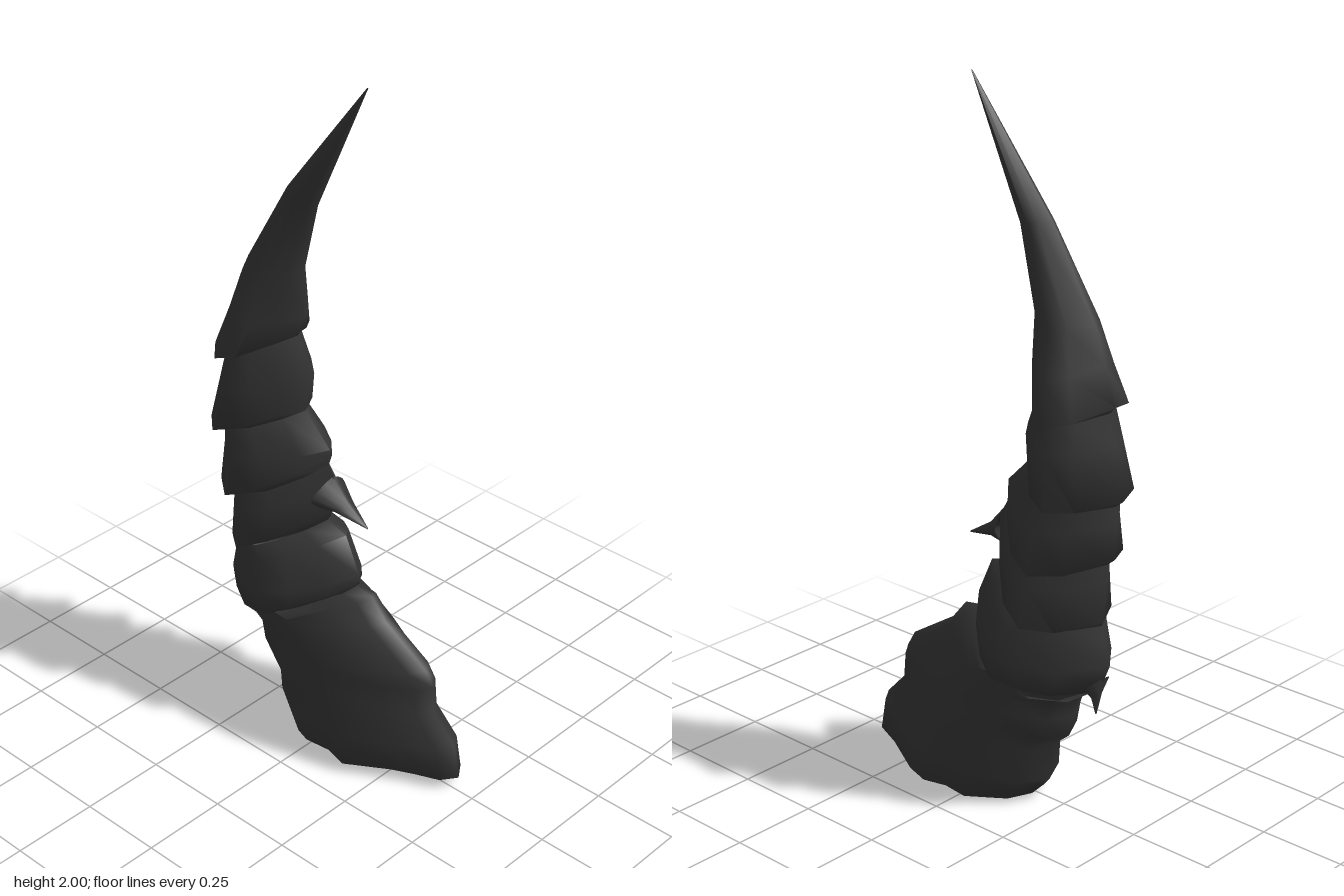
import * as THREE from 'three';
import { toCreasedNormals } from 'three/addons/utils/BufferGeometryUtils.js';

// Cross-sections: [position from outer (0) to inner (1) edge, share of half-depth]
const BAND = [[0, 0], [0.2, 0.68], [0.4, 1], [0.62, 0.85], [0.86, 0.4], [1, 0]];
const WIDE_BAND = [[0, 0], [0.18, 0.62], [0.38, 0.92], [0.54, 1], [0.7, 0.78], [0.88, 0.4], [1, 0]];
const ROOT = [[0, 0], [0.06, 0.47], [0.26, 0.94], [0.42, 0.88], [0.56, 1], [0.8, 0.5], [0.95, 0.26], [1, 0]];

// Loft through rings, each [outerX, outerY, innerX, innerY, halfDepth, sag, zShift]
function loft(rings, section) {
  const loop = [
    ...section.map(([t, w]) => [t, w, 1]),
    ...section.slice(1, -1).reverse().map(([t, w]) => [t, w, -1]),
  ];
  const n = loop.length, pos = [], index = [];
  rings.forEach(([x0, y0, x1, y1, depth, sag = 0, dz = 0], r) => {
    for (const [t, w, side] of loop) {
      pos.push(x0 + (x1 - x0) * t, y0 + (y1 - y0) * t - sag * w, depth * w * side + dz);
    }
    if (r === 0) return;
    for (let i = 0; i < n; i++) {
      const j = (i + 1) % n, a = (r - 1) * n, b = r * n;
      index.push(a + i, b + i, b + j, a + i, b + j, a + j);
    }
  });
  const geo = new THREE.BufferGeometry();
  geo.setAttribute('position', new THREE.Float32BufferAttribute(pos, 3));
  geo.setIndex(index);
  return toCreasedNormals(geo, 1.5);
}

export function createModel() {
  const horn = new THREE.MeshStandardMaterial({ color: 0x333333, side: THREE.DoubleSide });
  horn.name = 'dark horn';
  const group = new THREE.Group();
  group.name = 'horn';
  const add = (name, rings, section = BAND) => {
    const mesh = new THREE.Mesh(loft(rings, section), horn);
    mesh.name = name;
    group.add(mesh);
    return rings.at(-1);
  };

  // Long curved point, ending in an overhanging lip that turns inward
  let seam = add('hornTip', [
    [0.088, 2, 0.092, 2, 0.002],
    [-0.19, 1.65, -0.08, 1.63, 0.045],
    [-0.34, 1.4, -0.135, 1.42, 0.093, 0.01],
    [-0.375, 1.3, -0.135, 1.28, 0.13, 0.02],
    [-0.41, 1.2, -0.155, 1.23, 0.168, 0.05],
    [-0.39, 1.18, -0.16, 1.22, 0.118, 0.03],
  ]);

  // Bands, each growing out of the turned-in lip above it
  seam = add('upperBand', [
    seam,
    [-0.415, 1.1, -0.11, 1.09, 0.143, 0.02],
    [-0.44, 0.95, -0.13, 1.02, 0.176, 0.04],
    [-0.415, 0.93, -0.13, 1.0, 0.13, 0.03],
  ]);
  seam = add('secondBand', [
    seam,
    [-0.42, 0.88, -0.04, 0.91, 0.152, 0.03],
    [-0.415, 0.78, -0.05, 0.88, 0.182, 0.07],
    [-0.39, 0.76, -0.045, 0.86, 0.132, 0.06],
  ]);
  seam = add('thirdBand', [
    seam,
    [-0.39, 0.71, -0.01, 0.8, 0.15, 0.05],
    [-0.38, 0.59, -0.02, 0.735, 0.176, 0.06],
    [-0.375, 0.58, -0.05, 0.68, 0.138, 0.04],
  ]);
  seam = add('lowerBand', [
    seam,
    [-0.385, 0.55, 0.02, 0.66, 0.155, 0.04],
    [-0.405, 0.47, 0.07, 0.55, 0.176, 0.04],
    [-0.38, 0.41, 0.065, 0.52, 0.188, 0.05],
    [-0.34, 0.37, 0.06, 0.51, 0.145, 0.04],
  ], WIDE_BAND);

  // Broad hollow root with a knobbly inner edge, open underneath
  add('hornRoot', [
    seam,
    [-0.31, 0.36, 0.12, 0.5, 0.148, 0.03],
    [-0.29, 0.34, 0.17, 0.44, 0.153, 0.01],
    [-0.28, 0.28, 0.32, 0.345, 0.158, 0, -0.003],
    [-0.27, 0.22, 0.345, 0.3, 0.163, 0, -0.006],
    [-0.21, 0.17, 0.345, 0.21, 0.167, 0, -0.01],
    [-0.21, 0.07, 0.42, 0.13, 0.172, 0, -0.015],
    [-0.19, 0.045, 0.437, 0.03, 0.174, 0, -0.015],
    [-0.145, 0, 0.35, 0, 0.15, 0, -0.015],
  ], ROOT);

  // Small barbs flowing out of the inner and outer edges
  add('innerBarb', [
    [-0.07, 0.72, -0.03, 0.83, 0.065],
    [0, 0.733, 0.025, 0.768, 0.035],
    [0.1, 0.716, 0.101, 0.72, 0.002],
  ], WIDE_BAND);
  add('outerBarb', [
    [-0.385, 0.43, -0.335, 0.38, 0.05],
    [-0.374, 0.38, -0.348, 0.36, 0.02],
    [-0.362, 0.315, -0.358, 0.315, 0.002],
  ], WIDE_BAND);

  return group;
}
